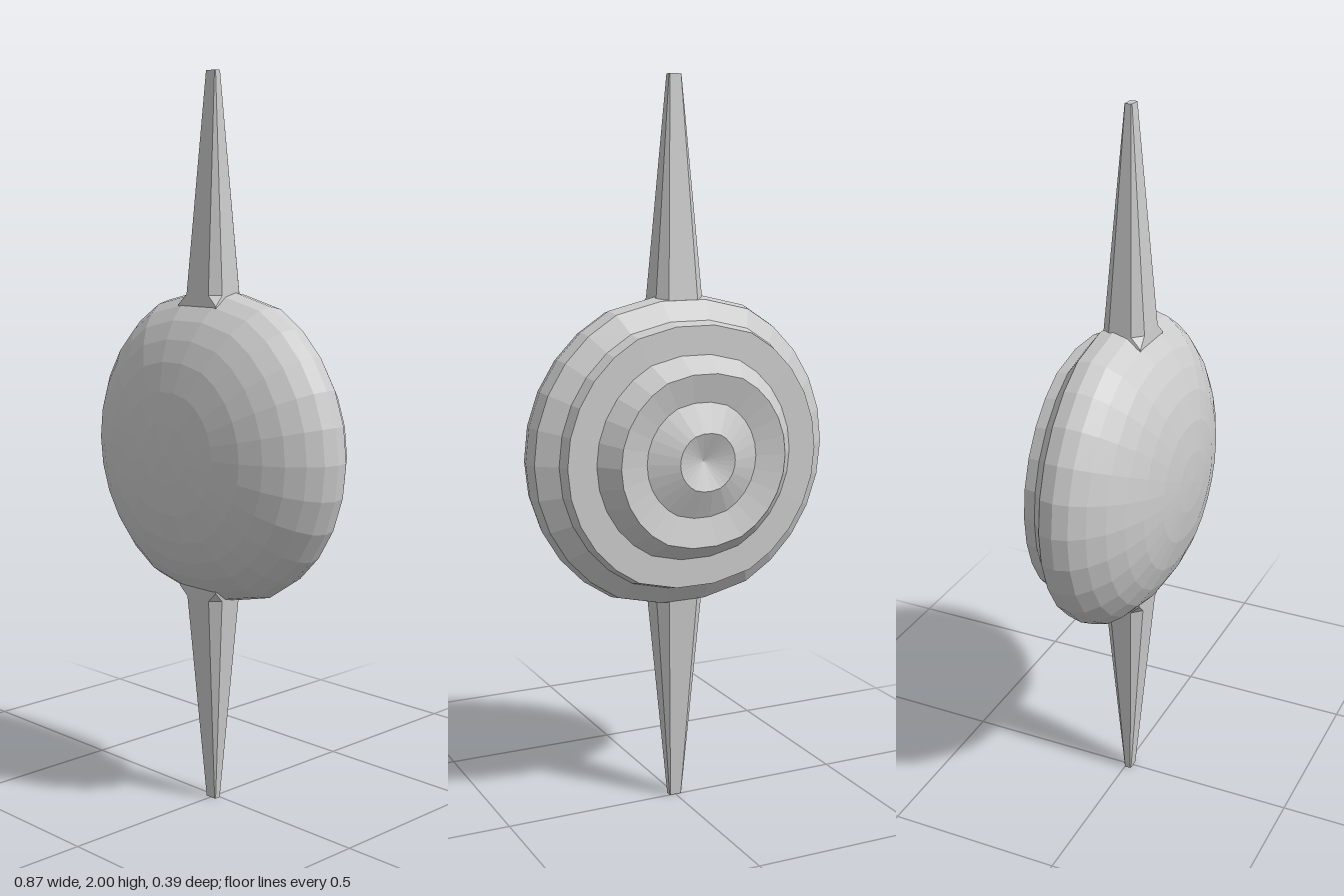
import * as THREE from 'three';

const material = new THREE.MeshStandardMaterial({ color: 0xcccccc, flatShading: true });

// Angles (degrees) of the body's ribs, wider where the spikes meet it
function ribAngles() {
  const half = [9, 27];
  for (let k = 1; k <= 10; k++) half.push(27 + 12.6 * k);
  half.push(171);
  return [...half, ...half.map((a) => a + 180), 369];
}

// Domed body with stepped back, turned around the z axis
function createBody() {
  const profile = [ // radius, z from back to front
    [0, -0.17], [0.08, -0.199], [0.16, -0.165], [0.24, -0.183], [0.285, -0.126],
    [0.365, -0.125], [0.375, -0.09], [0.428, -0.05], [0.437, -0.01], [0.427, 0.03],
    [0.4, 0.068], [0.36, 0.105], [0.31, 0.135], [0.25, 0.16], [0.17, 0.18],
    [0.085, 0.19], [0, 0.193],
  ];
  const angles = ribAngles();
  const geometry = new THREE.LatheGeometry(
    profile.map(([r, z]) => new THREE.Vector2(r, z)), angles.length - 1);
  const position = geometry.attributes.position;
  angles.forEach((degrees, i) => {
    const a = THREE.MathUtils.degToRad(degrees);
    // Ribs beside the spikes dip slightly inward
    const dip = Math.abs(Math.cos(a)) > 0.95 ? 0.975 : 1;
    profile.forEach(([r, z], j) => {
      position.setXYZ(i * profile.length + j, r * dip * Math.sin(a), -r * dip * Math.cos(a), z);
    });
  });
  geometry.computeVertexNormals();
  const body = new THREE.Mesh(geometry, material);
  body.name = 'body';
  return body;
}

// Eight-sided section: half widths x and z, chamfer c, at height y
function section(y, x, z, c) {
  return [
    [x - c, z], [x, z - c], [x, c - z], [x - c, -z],
    [c - x, -z], [-x, c - z], [-x, z - c], [c - x, z],
  ].map(([px, pz]) => [px, y, pz + 0.009]);
}

// Tapered spike with a square foot sunk into the body
function createSpike(name, direction) {
  const rings = [
    section(0.34, 0.072, 0.06, 0.001),
    section(0.388, 0.072, 0.06, 0.001),
    section(0.415, 0.068, 0.058, 0.026),
    section(1, 0.018, 0.01, 0.002),
  ];
  const vertices = rings.flat(2);
  const index = [];
  for (let r = 0; r < rings.length - 1; r++) {
    for (let i = 0; i < 8; i++) {
      const a = r * 8 + i;
      const b = r * 8 + (i + 1) % 8;
      index.push(a, b, b + 8, a, b + 8, a + 8);
    }
  }
  const tip = (rings.length - 1) * 8;
  for (let i = 1; i < 7; i++) index.push(tip, tip + i, tip + i + 1);
  // Mirroring downwards flips the corner order
  if (direction < 0) {
    for (let i = 1; i < vertices.length; i += 3) vertices[i] *= -1;
    index.reverse();
  }
  const geometry = new THREE.BufferGeometry();
  geometry.setAttribute('position', new THREE.Float32BufferAttribute(vertices, 3));
  geometry.setIndex(index);
  geometry.computeVertexNormals();
  const spike = new THREE.Mesh(geometry, material);
  spike.name = name;
  return spike;
}

export function createModel() {
  const model = new THREE.Group();
  model.name = 'spikedDisc';
  model.add(createBody(), createSpike('upperSpike', 1), createSpike('lowerSpike', -1));
  model.children.forEach((part) => { part.position.y = 1; });
  return model;
}
